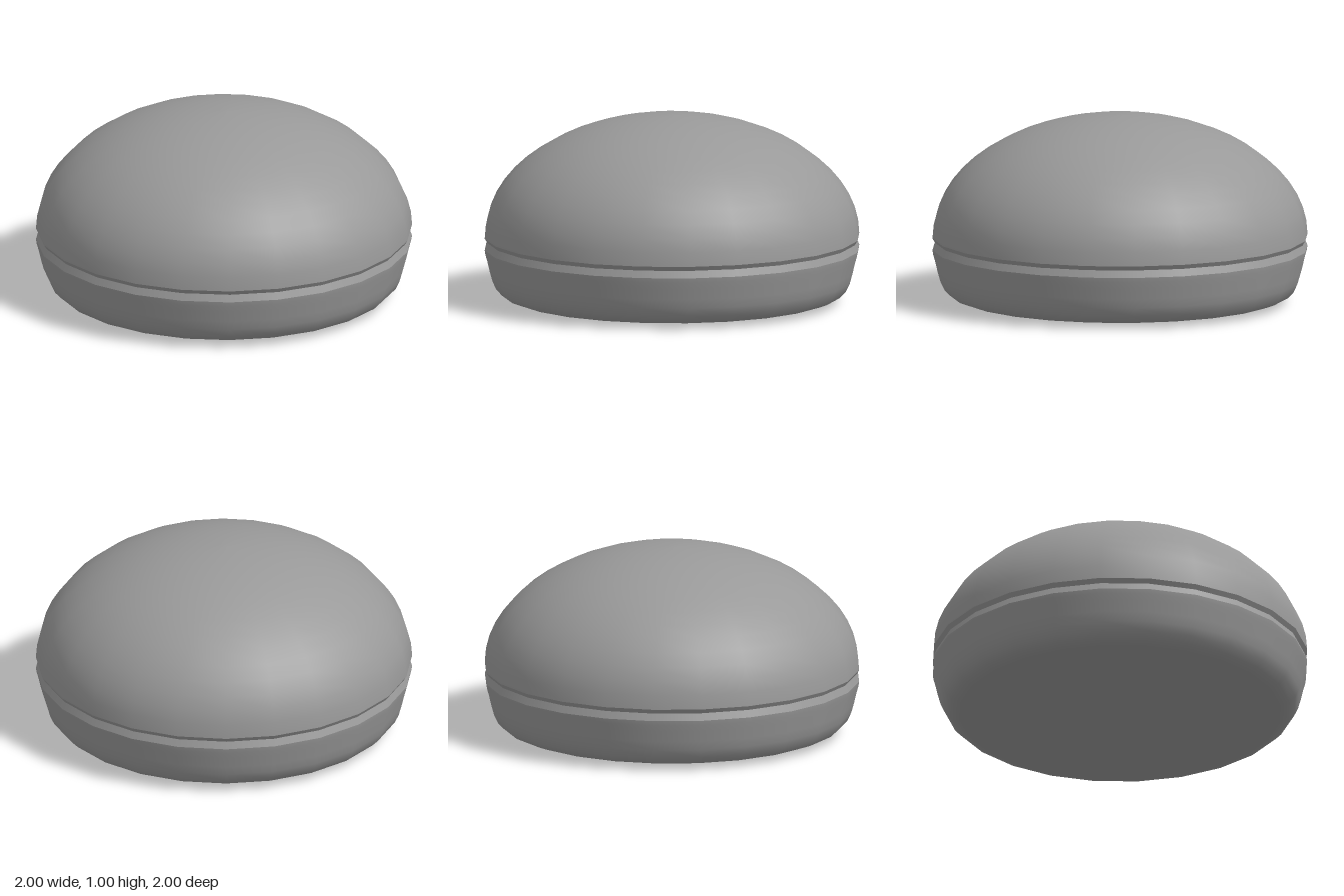
import * as THREE from 'three';

const SIDES = 24;

export function createModel() {
  const group = new THREE.Group();
  const material = new THREE.MeshStandardMaterial({ color: 0x999999 });

  // Each band is its own lathe (profile runs upwards), so joints stay crisp.
  const addBand = (name, profile) => {
    const points = profile.map(([r, y]) => new THREE.Vector2(r, y));
    const mesh = new THREE.Mesh(new THREE.LatheGeometry(points, SIDES), material);
    mesh.name = name;
    group.add(mesh);
  };

  // Slightly bulging underside and rounded lower half
  addBand('bottomBun', [
    [0, 0], [0.4, 0.012], [0.75, 0.02], [0.86, 0.025], [0.905, 0.042], [0.937, 0.075],
    [0.958, 0.12], [0.972, 0.17], [0.986, 0.23], [0.996, 0.265], [1, 0.29],
  ]);

  // Shallow V groove between the halves
  addBand('grooveLower', [[1, 0.29], [0.985, 0.328]]);
  addBand('grooveUpper', [[0.985, 0.328], [1, 0.352]]);

  // Elliptical dome, closed by a tiny level cap so the crown shades smoothly
  const dome = [];
  const steps = 14;
  for (let i = 0; i < steps; i++) {
    const a = (i / steps) * Math.PI / 2;
    dome.push([Math.cos(a), 0.352 + 0.653 * Math.sin(a)]);
  }
  dome.push([0.02, 1.005], [0, 1.005]);
  addBand('topBun', dome);

  return group;
}
